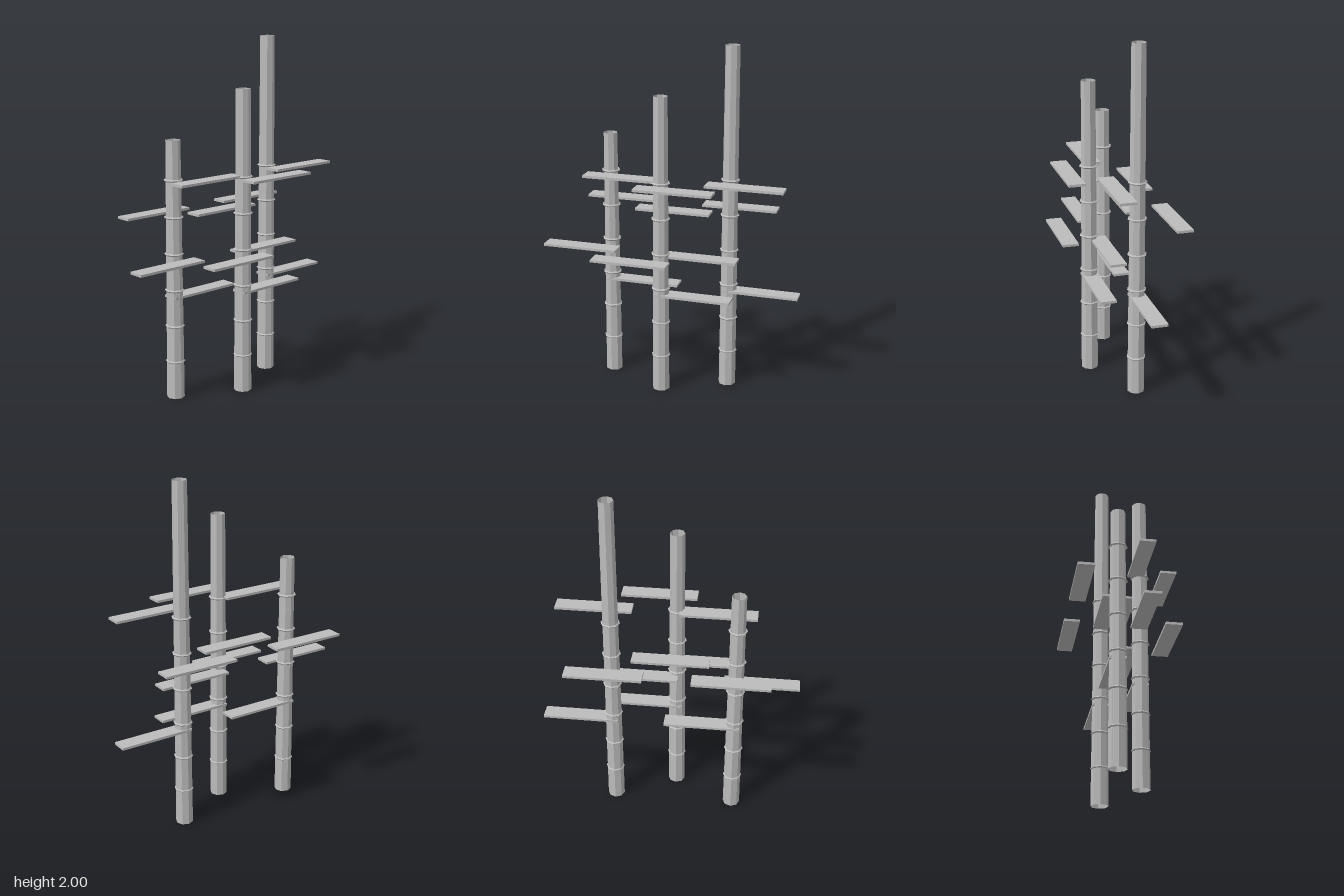
import * as THREE from 'three';

export function createModel() {
  const model = new THREE.Group();
  model.name = 'polesWithPlanks';

  const grey = new THREE.MeshStandardMaterial({ color: 0xbcbcbc, flatShading: true, side: THREE.DoubleSide });
  grey.name = 'plain grey';

  const add = (parent, geometry, name, x, y, z) => {
    const mesh = new THREE.Mesh(geometry, grey);
    mesh.name = name;
    mesh.position.set(x, y, z);
    parent.add(mesh);
    return mesh;
  };

  // Three hollow, tapering eight-sided poles: x, z, height
  const poles = [
    [-0.38, -0.07, 1.47],
    [-0.027, 0.107, 1.735],
    [0.326, -0.07, 2.0],
  ];
  const ringGeometry = new THREE.TorusGeometry(0.048, 0.007, 4, 8).rotateX(Math.PI / 2);

  poles.forEach(([x, z, height], i) => {
    const pole = new THREE.Group();
    pole.name = 'pole' + (i + 1);
    pole.position.set(x, 0, z);
    model.add(pole);
    const shaft = new THREE.CylinderGeometry(0.041, 0.05, height, 8, 1, true);
    add(pole, shaft, 'shaft', 0, height / 2, 0);
    // Node rings, evenly spaced up the lower part
    for (let n = 1; n <= 6; n++) add(pole, ringGeometry, 'nodeRing', 0, 0.008 + n * 0.207, 0);
  });

  // Each level offsets one plank from every pole: height, x offset, z offset
  const levels = [
    [0.59, 0.189, -0.002],
    [0.811, -0.144, 0.125],
    [1.032, 0.017, -0.193],
    [1.252, 0.117, 0.15],
  ];
  const plankGeometry = new THREE.BoxGeometry(0.438, 0.014, 0.092);
  for (const [y, dx, dz] of levels) {
    for (const [x, z] of poles) add(model, plankGeometry, 'plank', x + dx, y, z + dz);
  }

  return model;
}
